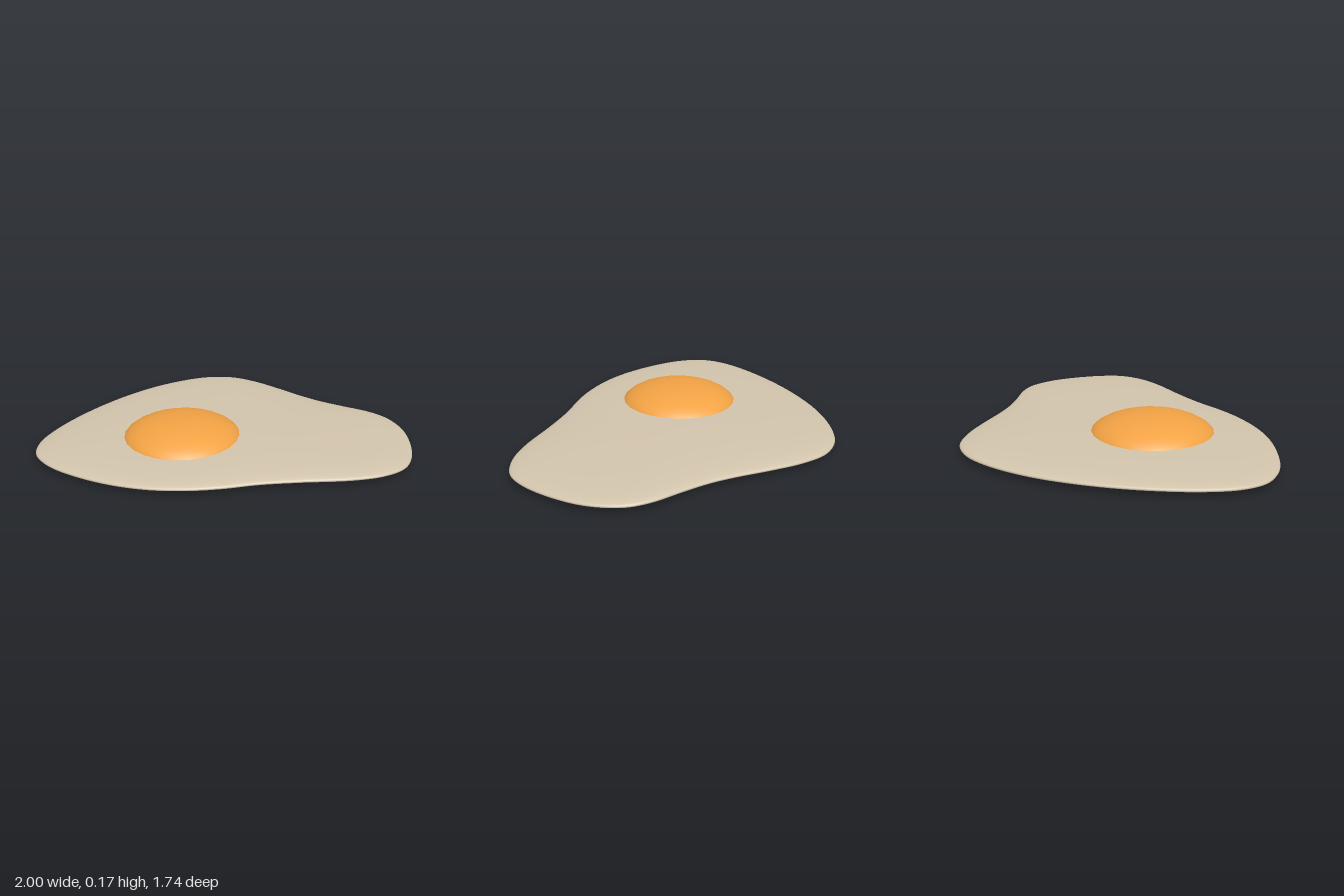
import * as THREE from 'three';

// Outline of the egg white as [x, z], clockwise seen from above
const OUTLINE = [
  [-1, 0.2], [-0.985, -0.1], [-0.93, -0.37], [-0.83, -0.61], [-0.72, -0.76],
  [-0.58, -0.848], [-0.4, -0.87], [-0.2, -0.853], [0, -0.826], [0.15, -0.817],
  [0.3, -0.825], [0.5, -0.842], [0.63, -0.82], [0.78, -0.72], [0.9, -0.56],
  [0.98, -0.38], [0.995, -0.25], [0.94, -0.11], [0.82, 0.03], [0.6, 0.21],
  [0.43, 0.36], [0.28, 0.52], [0.14, 0.64], [-0.04, 0.75], [-0.27, 0.83],
  [-0.55, 0.865], [-0.7, 0.85], [-0.82, 0.8], [-0.91, 0.69], [-0.97, 0.5],
];

// Flat rounded puddle: the outline shrunk towards a middle point, ring by ring,
// over the top, around the thin rim and back underneath
function eggWhiteGeometry(segments = 160, rings = 36) {
  const curve = new THREE.CatmullRomCurve3(
    OUTLINE.map(([x, z]) => new THREE.Vector3(x, 0, z)), true);
  const cx = -0.1, cz = -0.08, rimY = 0.036, power = 2 / 2.5;
  const positions = [], index = [];
  for (let i = 0; i <= rings; i++) {
    const t = (i / rings) * Math.PI;
    const scale = Math.pow(Math.max(0, Math.sin(t)), power);
    const c = Math.cos(t);
    const lift = Math.sign(c) * Math.pow(Math.abs(c), power);
    const y = rimY + lift * (c > 0 ? 0.043 : rimY);
    for (let j = 0; j < segments; j++) {
      const p = curve.getPoint(j / segments);
      positions.push(cx + (p.x - cx) * scale, y, cz + (p.z - cz) * scale);
      if (i === rings) continue;
      const k = (j + 1) % segments;
      const a = i * segments + j, b = i * segments + k;
      index.push(a, b, b + segments, a, b + segments, a + segments);
    }
  }
  const geometry = new THREE.BufferGeometry();
  geometry.setAttribute('position', new THREE.Float32BufferAttribute(positions, 3));
  geometry.setIndex(index);
  geometry.computeVertexNormals();
  return geometry;
}

export function createModel() {
  const group = new THREE.Group();
  group.name = 'friedEgg';

  const white = new THREE.Mesh(
    eggWhiteGeometry(), new THREE.MeshStandardMaterial({ color: 0xd2c4ac }));
  white.name = 'eggWhite';
  group.add(white);

  // Yolk: a flattened dome sunk into the white
  const yolk = new THREE.Mesh(
    new THREE.SphereGeometry(1, 24, 12, 0, Math.PI * 2, 0, Math.PI / 2),
    new THREE.MeshStandardMaterial({ color: 0xf2a244 }));
  yolk.name = 'yolk';
  yolk.scale.set(0.36, 0.135, 0.36);
  yolk.position.set(-0.25, 0.037, 0.16);
  group.add(yolk);

  return group;
}
